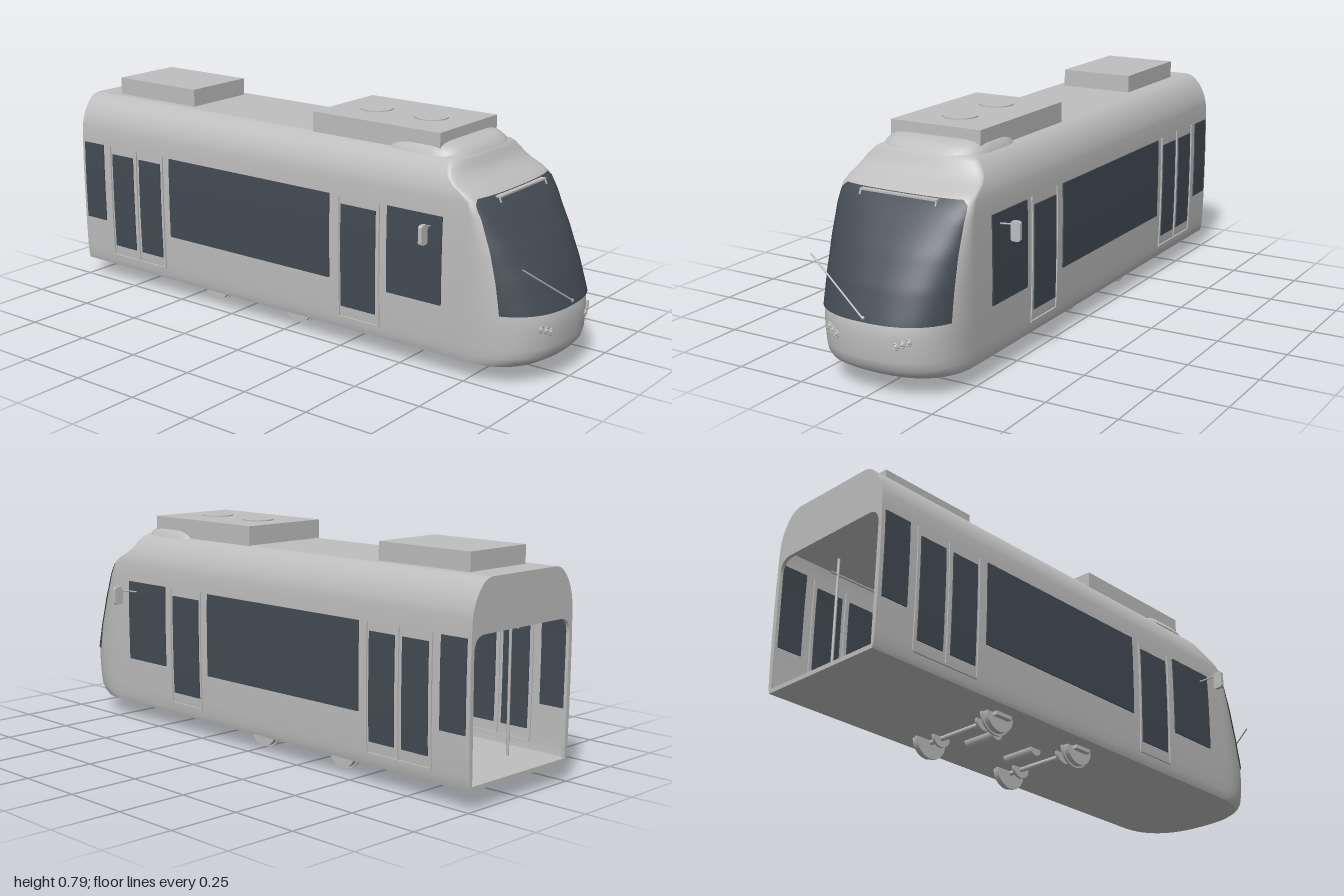
import * as THREE from 'three';

const body = new THREE.MeshStandardMaterial({ name: 'bodyGrey', color: 0xbebebe, side: THREE.DoubleSide });
const glass = new THREE.MeshStandardMaterial({ name: 'tintedGlass', color: 0x434b53, side: THREE.DoubleSide });

// Shell levels: height, half width, front z, length of the rounded nose
const LEVELS = [
  [0.065, 0.243, 0.945, 0.21], [0.08, 0.247, 0.97, 0.23], [0.1, 0.249, 0.987, 0.24], [0.13, 0.251, 0.996, 0.25],
  [0.2, 0.253, 1, 0.25], [0.25, 0.254, 0.996, 0.25], [0.35, 0.255, 0.957, 0.21], [0.45, 0.255, 0.903, 0.15],
  [0.55, 0.253, 0.834, 0.08], [0.6, 0.25, 0.792, 0.05], [0.62, 0.246, 0.765, 0.045], [0.64, 0.24, 0.725, 0.04],
  [0.66, 0.231, 0.7, 0.04], [0.68, 0.219, 0.687, 0.04], [0.7, 0.201, 0.677, 0.04], [0.711, 0.185, 0.67, 0.04],
  [0.717, 0.165, 0.66, 0.04],
];

function levelAt(y) {
  let i = 0;
  while (i < LEVELS.length - 2 && LEVELS[i + 1][0] < y) i++;
  const a = LEVELS[i], b = LEVELS[i + 1], k = (y - a[0]) / (b[0] - a[0]);
  return a.map((v, j) => v + (b[j] - v) * k);
}

const POWER = 2.5;

// Point on the rounded nose; angle 0 is the left side, PI the right side
function nosePoint(y, angle, out = 0) {
  const [, w, f, len] = levelAt(y), c = Math.cos(angle), s = Math.max(0, Math.sin(angle));
  return [Math.sign(c) * (w + out) * Math.abs(c) ** (2 / POWER), y, f - len + (len + out) * s ** (2 / POWER)];
}

// Skin through rings of equal length, with optional flat caps
function loft(rings, capped) {
  const n = rings[0].length, pos = rings.flat(2), idx = [];
  for (let r = 0; r < rings.length - 1; r++)
    for (let i = 0; i < n - 1; i++) {
      const a = r * n + i, u = a + n;
      idx.push(a, u, a + 1, a + 1, u, u + 1);
    }
  if (capped) for (const top of [false, true]) {
    const ring = top ? rings[rings.length - 1] : rings[0], base = pos.length / 3;
    const mid = [0, ring[0][1], ring.reduce((t, p) => t + p[2], 0) / n];
    pos.push(...mid, ...ring.flat());
    for (let i = 0; i < n; i++) {
      const a = base + 1 + i, b = base + 1 + (i + 1) % n;
      idx.push(base, ...(top ? [b, a] : [a, b]));
    }
  }
  const g = new THREE.BufferGeometry();
  g.setAttribute('position', new THREE.Float32BufferAttribute(pos, 3));
  g.setIndex(idx);
  g.computeVertexNormals();
  return g;
}

export function createModel() {
  const model = new THREE.Group();
  model.name = 'tramFrontSection';

  function add(name, geo, mat = body, x = 0, y = 0, z = 0) {
    const m = new THREE.Mesh(geo, mat);
    m.name = name;
    m.position.set(x, y, z);
    model.add(m);
    return m;
  }
  // Box given by its limits
  function box(name, x0, x1, y0, y1, z0, z1, mat = body) {
    return add(name, new THREE.BoxGeometry(x1 - x0, y1 - y0, z1 - z0), mat, (x0 + x1) / 2, (y0 + y1) / 2, (z0 + z1) / 2);
  }
  function rod(name, a, b, r) {
    const path = new THREE.LineCurve3(new THREE.Vector3(...a), new THREE.Vector3(...b));
    return add(name, new THREE.TubeGeometry(path, 1, r, 8));
  }
  // Thin plate that follows the curve of the side wall
  function sidePlate(name, side, z0, z1, y0, y1, thick, mat) {
    const g = new THREE.BoxGeometry(thick, y1 - y0, z1 - z0, 1, 8, 1);
    g.translate(0, (y0 + y1) / 2, (z0 + z1) / 2);
    const p = g.attributes.position;
    for (let i = 0; i < p.count; i++) p.setX(i, p.getX(i) + side * levelAt(p.getY(i))[1]);
    g.computeVertexNormals();
    add(name, g, mat);
  }

  // Shell
  const shellRings = LEVELS.map(([y, w]) => {
    const ring = [[w, y, -1]];
    for (let i = 0; i <= 64; i++) ring.push(nosePoint(y, Math.PI * i / 64));
    ring.push([-w, y, -1]);
    return ring;
  });
  add('bodyShell', loft(shellRings, true));

  // Rear end frame with the open gangway
  const end = new THREE.Shape();
  LEVELS.forEach(([y, w], i) => (i ? end.lineTo(w, y) : end.moveTo(w, y)));
  [...LEVELS].reverse().forEach(([y, w]) => end.lineTo(-w, y));
  const hole = new THREE.Path();
  hole.moveTo(-0.236, 0.08).lineTo(0.236, 0.08).lineTo(0.24, 0.49);
  hole.quadraticCurveTo(0.24, 0.545, 0.19, 0.545).lineTo(-0.19, 0.545);
  hole.quadraticCurveTo(-0.24, 0.545, -0.24, 0.49);
  end.holes.push(hole);
  add('rearEndFrame', new THREE.ExtrudeGeometry(end, { depth: 0.012, bevelEnabled: false }), body, 0, 0, -1);

  // Windscreen wrapped round the nose
  const screenRings = [];
  for (let i = 0; i <= 24; i++) {
    const y = 0.247 + 0.361 * i / 24;
    const half = 0.24 - (y > 0.585 ? 0.02 * ((y - 0.585) / 0.023) ** 2 : 0);
    const a0 = Math.acos((half / (levelAt(y)[1] + 0.004)) ** (POWER / 2)), ring = [];
    for (let j = 0; j <= 64; j++) ring.push(nosePoint(y, a0 + (Math.PI - 2 * a0) * j / 64, 0.004));
    screenRings.push(ring);
  }
  add('windscreen', loft(screenRings, false), glass);

  // Destination display frame and wiper
  box('displayBar', -0.145, 0.145, 0.6, 0.606, 0.785, 0.803);
  for (const s of [-1, 1]) rod('displayEnd', [s * 0.143, 0.586, 0.806], [s * 0.143, 0.605, 0.797], 0.003);
  rod('wiperArm', [0, 0.26, 1], [-0.235, 0.415, 0.945], 0.003);
  add('wiperPivot', new THREE.SphereGeometry(0.006, 12, 8), body, 0, 0.26, 0.997);

  for (const s of [-1, 1]) {
    // Side windows and door panes
    for (const [z0, z1] of [[0.445, 0.66], [-0.54, 0.205], [-0.985, -0.884]])
      sidePlate('sideWindow', s, z0, z1, 0.24, 0.538, 0.008, glass);
    for (const [z0, z1] of [[0.255, 0.398], [-0.695, -0.587], [-0.835, -0.728]])
      sidePlate('doorPane', s, z0, z1, 0.148, 0.51, 0.008, glass);
    // Door seals and sills
    for (const z of [0.245, 0.412, -0.575, -0.711, -0.848])
      sidePlate('doorSeal', s, z - 0.003, z + 0.003, 0.11, 0.54, 0.01, body);
    for (const [z0, z1] of [[0.245, 0.412], [-0.848, -0.575]])
      sidePlate('doorSill', s, z0, z1, 0.105, 0.111, 0.012, body);

    // Mirror
    const mirrorShape = new THREE.Shape();
    mirrorShape.absarc(0.008, 0.024, 0.009, 0, Math.PI / 2).absarc(-0.008, 0.024, 0.009, Math.PI / 2, Math.PI);
    mirrorShape.absarc(-0.008, -0.024, 0.009, Math.PI, Math.PI * 1.5).absarc(0.008, -0.024, 0.009, Math.PI * 1.5, Math.PI * 2);
    add('mirror', new THREE.ExtrudeGeometry(mirrorShape, { depth: 0.014, bevelEnabled: false }), body, s * 0.328, 0.492, 0.628);
    rod('mirrorArm', [s * 0.25, 0.5, 0.612], [s * 0.325, 0.513, 0.634], 0.003);

    // Headlight cluster
    for (const [x, y] of [[0.112, 0.185], [0.131, 0.193], [0.15, 0.2]]) {
      const z = nosePoint(y, Math.acos((x / levelAt(y)[1]) ** (POWER / 2)))[2];
      add('headlightRing', new THREE.TorusGeometry(0.01, 0.003, 8, 20), body, s * x, y, z + 0.002);
      add('headlightLens', new THREE.SphereGeometry(0.008, 14, 8), body, s * x, y, z);
    }

    // Grab poles and overhead rails
    for (const z of [-0.85, -0.5, -0.1, 0.22]) rod('grabPole', [s * 0.13, 0.08, z], [s * 0.13, 0.57, z], 0.005);
    rod('handRail', [s * 0.13, 0.51, -0.88], [s * 0.13, 0.51, 0.4], 0.004);
  }

  // Interior floor, ceiling and cab wall
  box('interiorFloor', -0.243, 0.243, 0.068, 0.08, -0.99, 0.7);
  box('interiorCeiling', -0.245, 0.245, 0.59, 0.6, -0.99, 0.7);
  box('cabWall', -0.245, 0.245, 0.08, 0.59, 0.425, 0.435);

  // Roof equipment
  box('frontRoofUnit', -0.172, 0.172, 0.71, 0.785, 0.07, 0.59);
  box('rearRoofUnit', -0.138, 0.138, 0.71, 0.78, -0.895, -0.515);
  for (const z of [0.215, 0.44]) add('roofFan', new THREE.CylinderGeometry(0.058, 0.058, 0.008, 32), body, 0, 0.785, z);
  const fairingRings = [[0.712, 0.192, 0.16], [0.725, 0.186, 0.152], [0.738, 0.174, 0.135], [0.746, 0.16, 0.115], [0.75, 0.14, 0.09]]
    .map(([y, w, d]) => Array.from({ length: 41 }, (_, i) => {
      const a = i * Math.PI / 20, c = Math.cos(a), q = Math.sin(a);
      return [Math.sign(c) * w * Math.abs(c) ** 0.55, y, 0.51 + Math.sign(q) * d * Math.abs(q) ** 0.55];
    }));
  add('roofFairing', loft(fairingRings, true));

  // Bogie: the lower halves of the wheels show under the floor
  const halfDisc = (r, w) => new THREE.CylinderGeometry(r, r, w, 32, 1, false, Math.PI, Math.PI).rotateZ(Math.PI / 2);
  for (const z of [0, -0.39]) {
    rod('axle', [-0.17, 0.058, z], [0.17, 0.058, z], 0.009);
    for (const s of [-1, 1]) {
      add('wheel', halfDisc(0.06, 0.022), body, s * 0.165, 0.066, z);
      add('wheelFlange', halfDisc(0.066, 0.008), body, s * 0.153, 0.066, z);
      add('brakeDisc', halfDisc(0.038, 0.01), body, s * 0.102, 0.066, z);
      box('axleBox', s * 0.185 - 0.01, s * 0.185 + 0.01, 0.052, 0.068, z - 0.035, z + 0.035);
    }
  }
  for (const z of [-0.1, -0.29])
    add('motor', new THREE.CylinderGeometry(0.024, 0.024, 0.13, 24).rotateZ(Math.PI / 2), body, 0, 0.063, z);

  return model;
}
